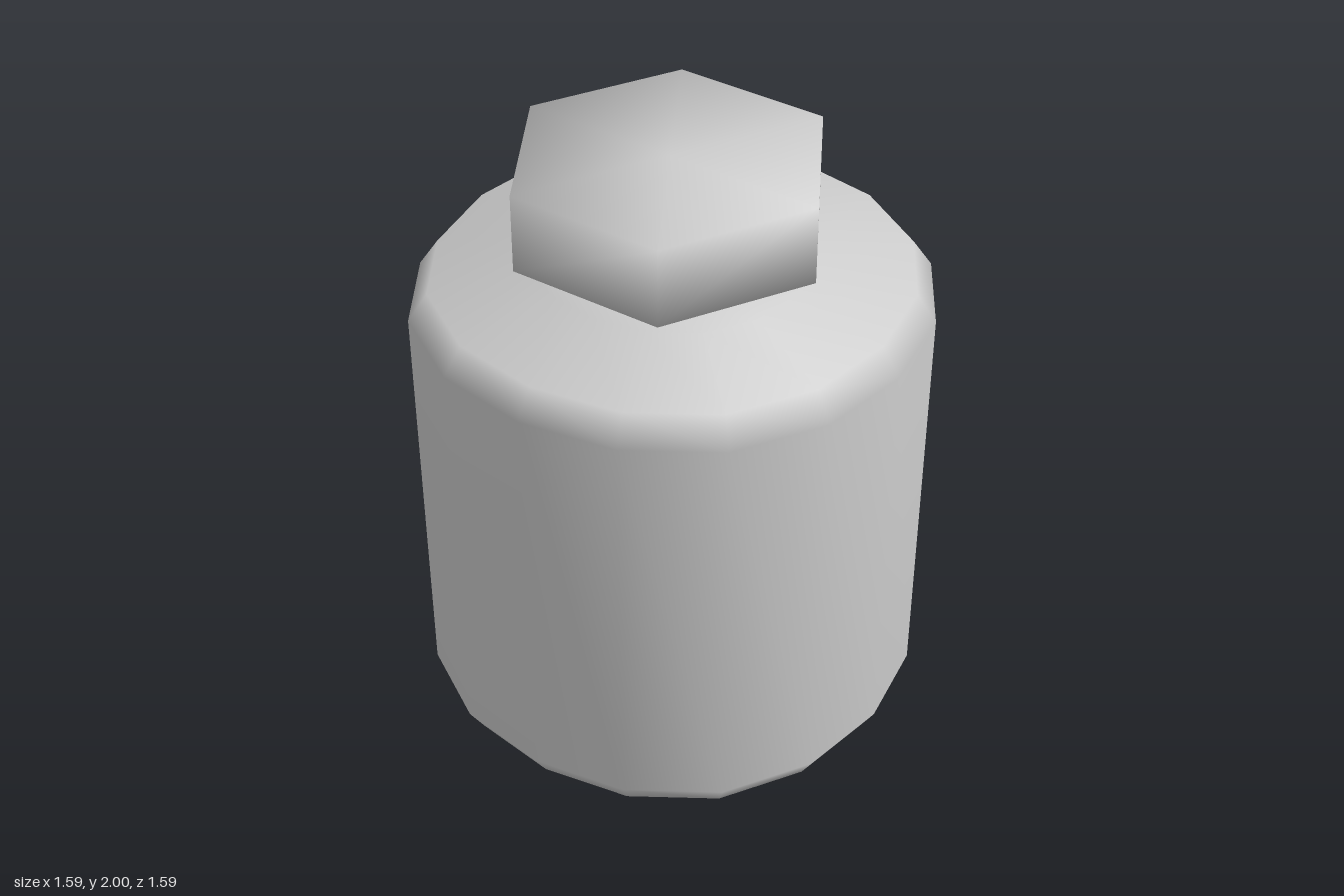
import * as THREE from 'three';
import { mergeVertices } from 'three/addons/utils/BufferGeometryUtils.js';

const material = new THREE.MeshStandardMaterial({ color: 0xcccccc });

// Drop seams so that shading runs smoothly over the whole surface
function smooth(geometry) {
  geometry.deleteAttribute('uv');
  geometry.deleteAttribute('normal');
  const merged = mergeVertices(geometry, 1e-4);
  merged.computeVertexNormals();
  return merged;
}

function part(name, geometry) {
  const mesh = new THREE.Mesh(geometry, material);
  mesh.name = name;
  return mesh;
}

// Sixteen-sided bottle with rounded base, sloping shoulder and short neck
function bottleGeometry() {
  const profile = [
    [0, 0], [0.3, 0.008], [0.53, 0.025], [0.737, 0.07], [0.787, 0.15],
    [0.797, 1.515], [0.737, 1.605], [0.43, 1.665], [0.405, 1.75], [0, 1.75],
  ].map(([r, y]) => new THREE.Vector2(r, y));
  const geometry = new THREE.LatheGeometry(profile, 16);
  const pos = geometry.attributes.position;
  // The ring swells slightly towards the diagonals
  for (let i = 0; i < pos.count; i++) {
    const x = pos.getX(i), z = pos.getZ(i);
    const swell = 1 + 0.0125 * (1 - Math.cos(4 * Math.atan2(z, x)));
    pos.setXYZ(i, x * swell, pos.getY(i), z * swell);
  }
  return smooth(geometry);
}

// Solid hexagonal cap with soft normals shared by its top and sides
function capGeometry(radius, height) {
  const geometry = smooth(new THREE.CylinderGeometry(radius, radius, height, 6).rotateY(Math.PI / 6));
  const { position, normal } = geometry.attributes;
  const n = new THREE.Vector3();
  for (let i = 0; i < position.count; i++) {
    n.set(position.getX(i) / radius, Math.sign(position.getY(i)), position.getZ(i) / radius).normalize();
    normal.setXYZ(i, n.x, n.y, n.z);
  }
  return geometry;
}

export function createModel() {
  const model = new THREE.Group();
  model.name = 'bottle';
  model.add(part('body', bottleGeometry()));

  const cap = part('cap', capGeometry(0.514, 0.26));
  cap.position.set(-0.01, 1.87, 0.004);
  model.add(cap);
  return model;
}
